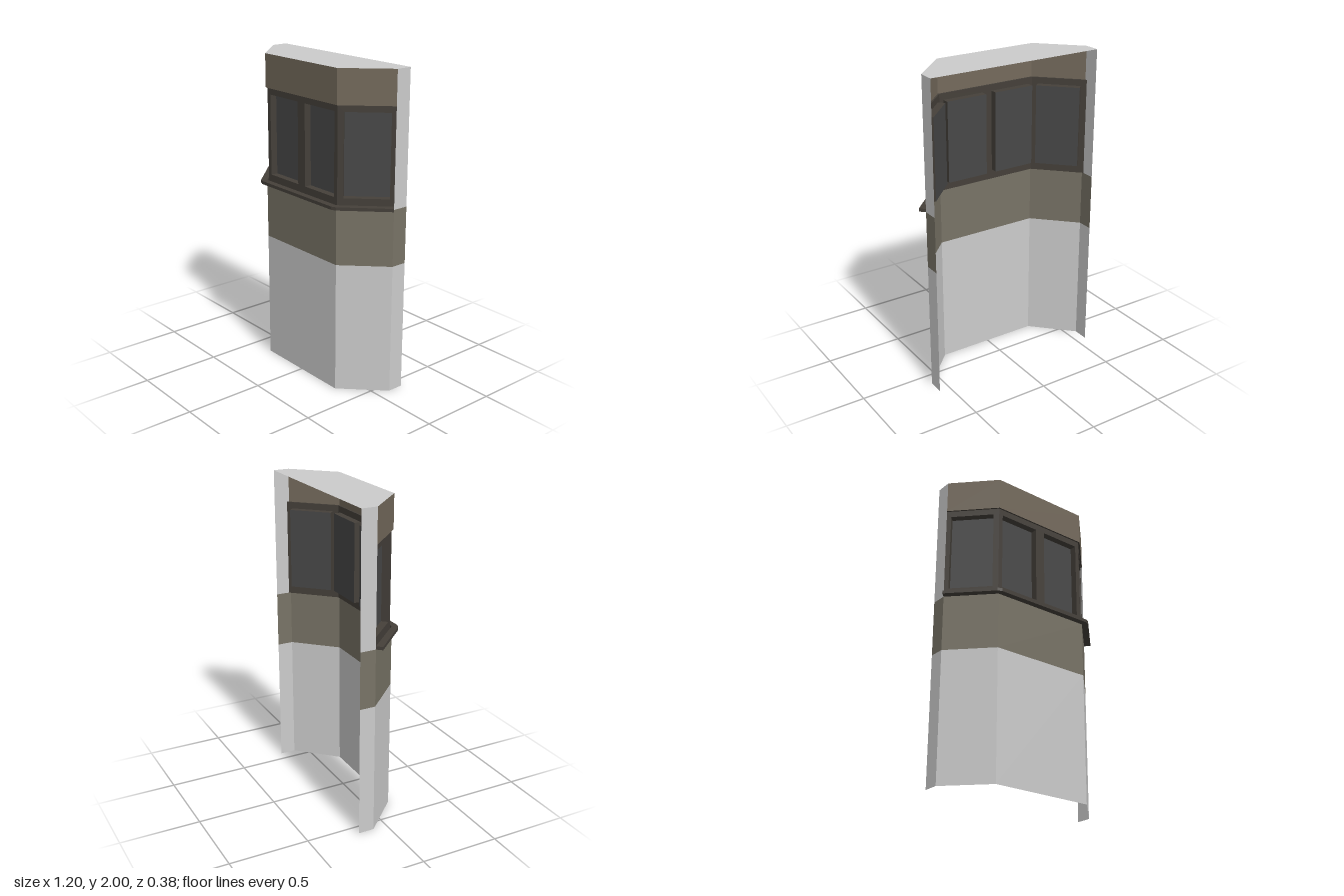
import * as THREE from 'three';

const mat = (color) => new THREE.MeshStandardMaterial({ color, side: THREE.DoubleSide, flatShading: true });
const grey = mat(0xcccccc), brown = mat(0x746a5c), bandMat = mat(0x787366);
const frameMat = mat(0x45403a), glassMat = mat(0x484848);

// Bay outline (x, z): side walls plus three facets
const SIDE = 0.57, BACK = -0.19, CORNER = 0.335, FRONT = 0.15, END = -0.09;
const bay = [[-SIDE, END], [-CORNER, FRONT], [CORNER, FRONT], [SIDE, END]];
const outline = [[-SIDE, BACK], ...bay, [SIDE, BACK]];

// Facet path moved inward, still ending on the side walls
const insetBay = (d) => {
  const x = CORNER - d * Math.tan(Math.PI / 8), z = FRONT - d, e = END - d * Math.SQRT2;
  return [[-SIDE, e], [-x, z], [x, z], [SIDE, e]];
};

// Ribbon of quads between two paths at two heights
function ribbon(name, a, ya, b, yb, material) {
  const p = [];
  for (let i = 0; i < a.length - 1; i++) {
    const A = [a[i][0], ya, a[i][1]], B = [a[i + 1][0], ya, a[i + 1][1]];
    const C = [b[i + 1][0], yb, b[i + 1][1]], D = [b[i][0], yb, b[i][1]];
    p.push(...A, ...B, ...C, ...A, ...C, ...D);
  }
  const g = new THREE.BufferGeometry();
  g.setAttribute('position', new THREE.Float32BufferAttribute(p, 3));
  g.computeVertexNormals();
  return named(name, g, material);
}

function named(name, geometry, material) {
  const m = new THREE.Mesh(geometry, material);
  m.name = name;
  return m;
}

const flatShape = (pts) => new THREE.Shape(pts.map(([x, z]) => new THREE.Vector2(x, -z)));

const rect = (Type, cx, cy, w, h) => new Type([[-1, -1], [1, -1], [1, 1], [-1, 1]]
  .map(([sx, sy]) => new THREE.Vector2(cx + sx * w / 2, cy + sy * h / 2)));

// One facet of the window band: pierced frame, deep reveals and glass
function windowFacet(name, [ax, az], [bx, bz], y0, y1, centres) {
  const W = 0.27, H = 0.51, CY = 1.495, DEPTH = 0.045;
  const g = new THREE.Group();
  g.name = name;
  const len = Math.hypot(bx - ax, bz - az);
  const face = rect(THREE.Shape, 0, (y0 + y1) / 2, len, y1 - y0);
  for (const cx of centres) {
    face.holes.push(rect(THREE.Path, cx, CY, W, H));
    const reveal = new THREE.Group();
    reveal.name = 'windowReveal';
    for (const s of [-1, 1]) {
      const jamb = named('jamb', new THREE.PlaneGeometry(DEPTH, H), frameMat);
      jamb.rotation.y = -s * Math.PI / 2;
      jamb.position.set(cx + s * W / 2, CY, -DEPTH / 2);
      const rail = named('rail', new THREE.PlaneGeometry(W, DEPTH), frameMat);
      rail.rotation.x = s * Math.PI / 2;
      rail.position.set(cx, CY + s * H / 2, -DEPTH / 2);
      reveal.add(jamb, rail);
    }
    const glass = named('glass', new THREE.PlaneGeometry(W, H), glassMat);
    glass.position.set(cx, CY, -DEPTH);
    g.add(reveal, glass);
  }
  g.add(named('windowFrame', new THREE.ShapeGeometry(face), frameMat));
  g.position.set((ax + bx) / 2, 0, (az + bz) / 2);
  g.rotation.y = Math.atan2(az - bz, bx - ax);
  return g;
}

export function createModel() {
  const root = new THREE.Group();
  root.name = 'bayWindow';
  const Y_BAND = 0.825, Y_SILL = 1.18, Y_HEAD = 1.79, TOP = 2;

  // Lower walls and coloured band
  root.add(ribbon('lowerWall', outline, 0, outline, Y_BAND, grey));
  root.add(ribbon('wallBand', outline, Y_BAND, outline, Y_SILL, bandMat));

  // Plain upper side walls and fascia over the windows
  for (const s of [-1, 1]) {
    const path = [[s * SIDE, BACK], [s * SIDE, END]];
    root.add(ribbon(s > 0 ? 'leftSideWall' : 'rightSideWall', path, Y_SILL, path, TOP, grey));
  }
  root.add(ribbon('fascia', bay, Y_HEAD, bay, TOP, brown));

  // Slightly recessed window band with its head and sill lips
  const inner = insetBay(0.01);
  root.add(ribbon('headLip', bay, Y_HEAD, inner, Y_HEAD, frameMat));
  root.add(ribbon('sillLip', bay, Y_SILL, inner, Y_SILL, frameMat));
  const facets = [['rightWindow', [0]], ['frontWindows', [-0.168, 0.168]], ['leftWindow', [0]]];
  facets.forEach(([name, centres], i) =>
    root.add(windowFacet(name, inner[i], inner[i + 1], Y_SILL, Y_HEAD, centres)));

  // Projecting sill with clipped corners
  const half = [[0.335, 0.19], [0.364, 0.178], [0.6, -0.06]];
  const outer = [...half.map(([x, z]) => [-x, z]).reverse(), ...half];
  const sillGeo = new THREE.ExtrudeGeometry(flatShape([...outer, ...[...bay].reverse()]),
    { depth: 0.02, bevelEnabled: false });
  sillGeo.rotateX(-Math.PI / 2);
  const sill = named('sill', sillGeo, frameMat);
  sill.position.y = Y_SILL;
  root.add(sill);

  // Flat roof; back and bottom stay open
  const roofGeo = new THREE.ShapeGeometry(flatShape(outline));
  roofGeo.rotateX(-Math.PI / 2);
  const roof = named('roof', roofGeo, grey);
  roof.position.y = TOP;
  root.add(roof);

  return root;
}
